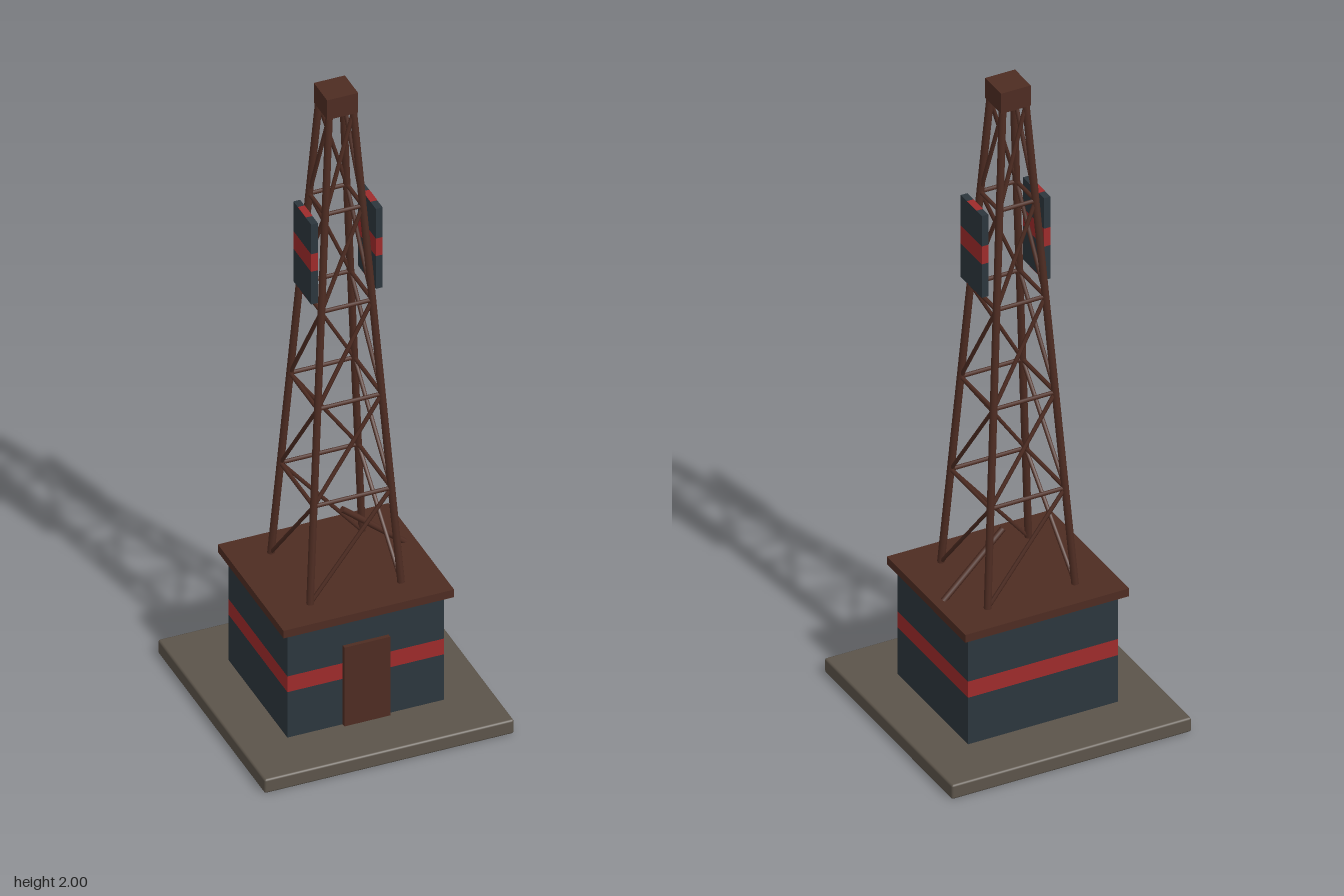
import * as THREE from 'three';
import { RoundedBoxGeometry } from 'three/addons/geometries/RoundedBoxGeometry.js';

function material(name, color) {
  const m = new THREE.MeshStandardMaterial({ color });
  m.name = name;
  return m;
}

export function createModel() {
  const concrete = material('concrete', 0x5c544a);
  const cladding = material('slate cladding', 0x2c363d);
  const red = material('red band', 0x9e2b2b);
  const rust = material('rusty steel', 0x4e2c22);

  const model = new THREE.Group();
  model.name = 'latticeTower';

  function add(parent, name, geometry, mat) {
    const mesh = new THREE.Mesh(geometry, mat);
    mesh.name = name;
    parent.add(mesh);
    return mesh;
  }

  // Box given by its lower and upper corner
  function box(parent, name, mat, [x0, y0, z0], [x1, y1, z1]) {
    const mesh = add(parent, name, new THREE.BoxGeometry(x1 - x0, y1 - y0, z1 - z0), mat);
    mesh.position.set((x0 + x1) / 2, (y0 + y1) / 2, (z0 + z1) / 2);
    return mesh;
  }

  // Block with a red band running round its sides
  function bandedBlock(name, lo, hi, bandLow, bandHigh) {
    const group = new THREE.Group();
    group.name = name;
    model.add(group);
    const levels = [lo[1], bandLow, bandHigh, hi[1]];
    ['lowerCladding', 'redBand', 'upperCladding'].forEach((part, i) => {
      box(group, part, i === 1 ? red : cladding,
        [lo[0], levels[i], lo[2]], [hi[0], levels[i + 1], hi[2]]);
    });
    return group;
  }

  // Straight steel member between two points
  const up = new THREE.Vector3(0, 1, 0);
  function strut(parent, name, a, b, radius, sides = 6) {
    const dir = b.clone().sub(a);
    const mesh = add(parent, name, new THREE.CylinderGeometry(radius, radius, dir.length(), sides), rust);
    mesh.position.copy(a).add(b).multiplyScalar(0.5);
    mesh.quaternion.setFromUnitVectors(up, dir.normalize());
    return mesh;
  }

  // Ground slab with softened edges
  add(model, 'groundSlab', new RoundedBoxGeometry(0.74, 0.045, 0.74, 1, 0.006), concrete).position.y = 0.0225;

  // Equipment hut, door and roof
  bandedBlock('hut', [-0.232, 0.045, -0.203], [0.232, 0.393, 0.205], 0.195, 0.247);
  box(model, 'door', rust, [-0.068, 0.045, 0.2], [0.068, 0.305, 0.217]);
  box(model, 'roof', rust, [-0.253, 0.392, -0.227], [0.253, 0.417, 0.227]);

  // Tapering lattice mast of five bays
  const mast = new THREE.Group();
  mast.name = 'mast';
  model.add(mast);
  const baseY = 0.417, topY = 1.935, bays = 5;
  const corners = [[-1, 1], [1, 1], [1, -1], [-1, -1]];
  function node(corner, level) {
    const t = level / bays;
    const half = THREE.MathUtils.lerp(0.135, 0.036, t);
    const [sx, sz] = corners[corner % 4];
    return new THREE.Vector3(sx * half, THREE.MathUtils.lerp(baseY, topY, t), sz * half);
  }
  for (let side = 0; side < 4; side++) {
    strut(mast, 'mastLeg', node(side, 0), node(side, bays), 0.011, 8);
    for (let level = 0; level < bays; level++) {
      // One rising diagonal per face, turning the same way round the mast
      strut(mast, 'diagonalBrace', node(side, level), node(side + 1, level + 1), 0.006);
      if (level > 0) strut(mast, 'ringBrace', node(side, level), node(side + 1, level), 0.006);
    }
  }
  box(mast, 'mastCap', rust, [-0.046, 1.935, -0.046], [0.046, 2, 0.046]);

  // Antenna panels on both sides, the band repeated on their ends
  for (const s of [-1, 1]) {
    const x0 = s * 0.096 - 0.01, x1 = s * 0.096 + 0.01;
    const panel = bandedBlock(s > 0 ? 'leftAntennaPanel' : 'rightAntennaPanel',
      [x0, 1.36, -0.047], [x1, 1.624, 0.075], 1.468, 1.526);
    for (const y of [1.36, 1.624]) {
      box(panel, 'endBand', red, [x0, y - 0.001, -0.016], [x1, y + 0.001, 0.038]);
    }
  }

  // Sloping cable pipe from the mast to the roof
  strut(model, 'cablePipe', new THREE.Vector3(0.03, 0.583, -0.027), new THREE.Vector3(0.222, 0.415, -0.042), 0.009, 8);

  return model;
}
